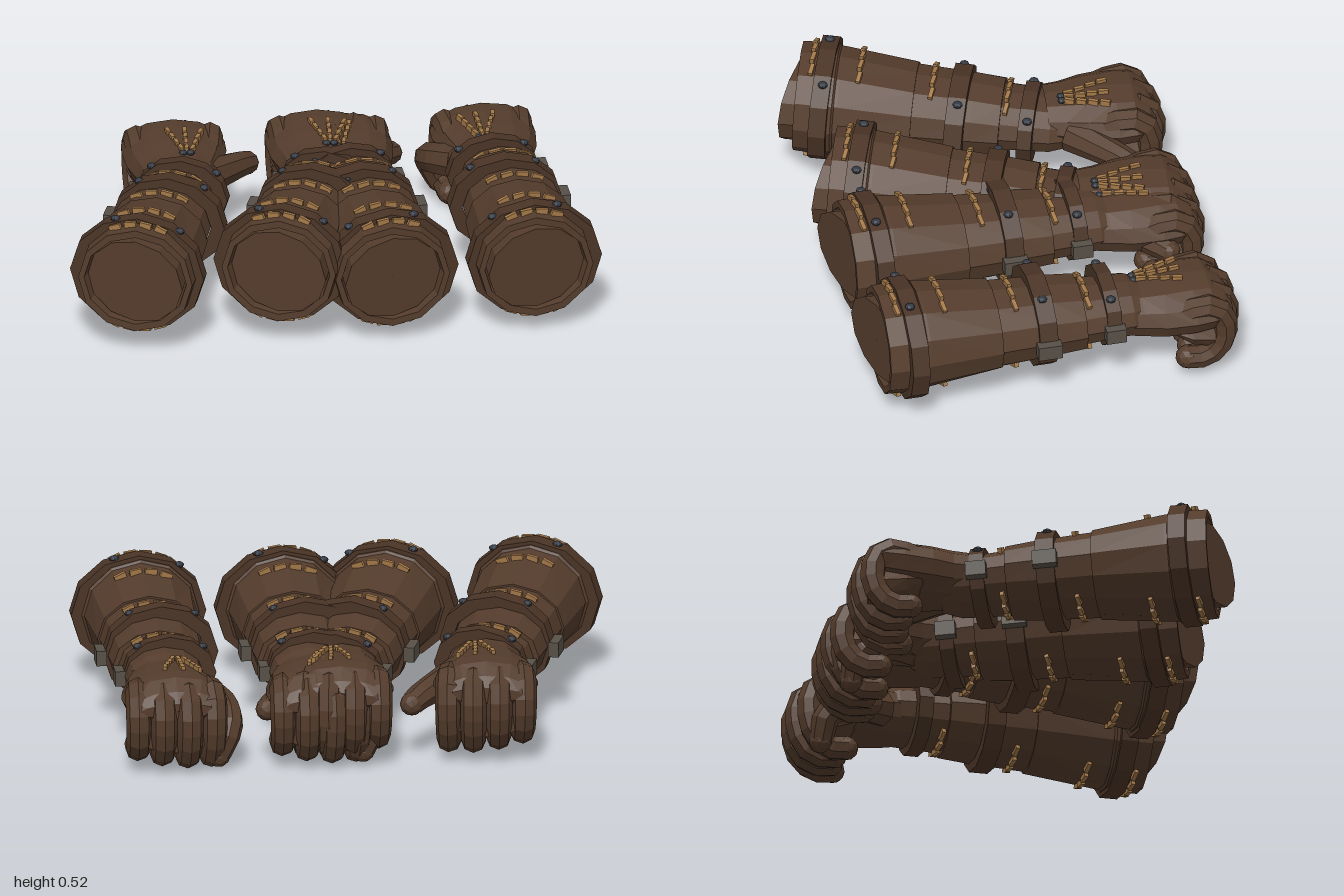
import * as THREE from 'three';

const mat = (name, color) => {
  const m = new THREE.MeshStandardMaterial({ color, flatShading: true });
  m.name = name;
  return m;
};

// Skin of elliptical rings, ordered from front (+z) to back: [z, rx, ry, cx, cy, tilt]
function loft(sections, n = 12) {
  const pos = [], idx = [];
  for (const [z, rx, ry, cx = 0, cy = 0, tilt = 0] of sections) {
    for (let k = 0; k < n; k++) {
      const a = (k / n) * Math.PI * 2;
      const x = cx + rx * Math.cos(a);
      pos.push(x, cy + ry * Math.sin(a), z + tilt * x);
    }
  }
  for (let i = 0; i < sections.length - 1; i++) {
    for (let k = 0; k < n; k++) {
      const a = i * n + k, b = i * n + ((k + 1) % n);
      idx.push(a, a + n, b, b, a + n, b + n);
    }
  }
  const g = new THREE.BufferGeometry();
  g.setAttribute('position', new THREE.Float32BufferAttribute(pos, 3));
  g.setIndex(idx);
  g.computeVertexNormals();
  return g;
}

// Closed hoop around the arm
const hoop = (z0, z1, rx, ry, cx, t = 0.05) =>
  loft([[z1, rx - t, ry - t], [z1, rx, ry], [z0, rx, ry], [z0, rx - t, ry - t], [z1, rx - t, ry - t]]
    .map((s) => [...s, cx, 0, -0.03]));

export function createModel() {
  const leather = mat('brown leather', 0x543c2c);
  const strapLeather = mat('strap leather', 0x4a3426);
  const thread = mat('tan thread', 0xa27848);
  const rivetMetal = mat('dark blue steel', 0x343a44);
  const buckleMetal = mat('dull buckle metal', 0x575047);

  const add = (parent, name, geo, m, x = 0, y = 0, z = 0) => {
    const mesh = new THREE.Mesh(geo, m);
    mesh.name = name;
    mesh.position.set(x, y, z);
    parent.add(mesh);
    return mesh;
  };

  const rivet = (parent, x, y, z, r = 0.019) => {
    add(parent, 'rivet', new THREE.SphereGeometry(r, 8, 6), rivetMetal, x, y - 0.004, z).scale.y = 0.65;
  };

  // Row of stitches over the top and under the bottom of the sleeve
  function stitchRow(parent, z, rx, ry) {
    for (const side of [1, -1]) {
      for (let i = 0; i < 4; i++) {
        const x = -0.087 + i * 0.058;
        const y = side * ry * Math.sqrt(1 - (x / rx) ** 2);
        const s = add(parent, 'stitch', new THREE.BoxGeometry(0.046, 0.022, 0.016), thread, x, y, z);
        s.rotation.z = Math.atan2(-x * ry * ry, y * rx * rx);
        s.rotation.y = 0.15;
      }
    }
  }

  // Strap with two rivets and an optional side buckle
  function strap(parent, z, w, rx, ry, cx, buckle) {
    const g = new THREE.Group();
    g.name = 'strap';
    add(g, 'strapBand', hoop(z - w / 2, z + w / 2, rx, ry, cx), strapLeather);
    for (const x of [-0.15, 0.095]) rivet(g, x, ry * Math.sqrt(1 - ((x - cx) / rx) ** 2), z);
    if (buckle) {
      add(g, 'buckle', new THREE.BoxGeometry(0.04, 0.058, w + 0.022), buckleMetal, rx + cx + 0.008, -0.008, z - 0.003);
    }
    parent.add(g);
  }

  function forearm() {
    const g = new THREE.Group();
    g.name = 'forearm';
    add(g, 'armEnd', loft([[0.665, 0.001, 0.001, 0, 0, -0.28], [0.665, 0.19, 0.16, 0, 0, -0.28], [0.3, 0.17, 0.14]]), leather);
    add(g, 'cuffTrim', loft([[0.5, 0.17, 0.15], [0.66, 0.195, 0.175], [0.66, 0.217, 0.203], [0.52, 0.222, 0.21], [0.5, 0.2, 0.18]]), leather);
    add(g, 'lowerSleeve', loft([[0.53, 0.213, 0.2], [0.5, 0.213, 0.2], [0.22, 0.197, 0.162], [0.22, 0.16, 0.13]]), leather);
    add(g, 'upperSleeve', loft([[0.23, 0.19, 0.155], [0.0, 0.181, 0.142], [-0.11, 0.176, 0.13], [-0.11, 0.14, 0.09]]), leather);
    add(g, 'wristSleeve', loft([[-0.1, 0.156, 0.115], [-0.3, 0.146, 0.105], [-0.37, 0.12, 0.08], [-0.37, 0.001, 0.001]]), leather);
    strap(g, 0.56, 0.066, 0.256, 0.224, 0.006, false);
    strap(g, 0.05, 0.07, 0.217, 0.184, -0.02, true);
    strap(g, -0.215, 0.055, 0.178, 0.145, -0.022, true);
    stitchRow(g, 0.61, 0.222, 0.208);
    stitchRow(g, 0.43, 0.209, 0.193);
    stitchRow(g, 0.155, 0.187, 0.153);
    stitchRow(g, -0.128, 0.16, 0.117);
    return g;
  }

  // Tapered finger along a path, closed at the tip
  function finger(parent, name, points, r0, r1) {
    const path = new THREE.CatmullRomCurve3(points.map((p) => new THREE.Vector3(...p)));
    const rows = 9, sides = 8;
    const geo = new THREE.TubeGeometry(path, rows, 1, sides, false);
    const p = geo.attributes.position, v = new THREE.Vector3();
    for (let i = 0; i < p.count; i++) {
      const t = Math.floor(i / (sides + 1)) / rows;
      const c = path.getPointAt(t);
      v.fromBufferAttribute(p, i).sub(c).multiplyScalar(r0 + (r1 - r0) * t).add(c);
      p.setXYZ(i, v.x, v.y, v.z);
    }
    geo.computeVertexNormals();
    add(parent, name, geo, leather);
    add(parent, name + 'Tip', new THREE.IcosahedronGeometry(r1, 1), leather, ...points[points.length - 1]);
  }

  function hand(openThumb) {
    const g = new THREE.Group();
    g.name = 'hand';
    add(g, 'palm', loft([
      [-0.27, 0.138, 0.095], [-0.34, 0.152, 0.102, 0, -0.003], [-0.42, 0.178, 0.108],
      [-0.53, 0.197, 0.108, -0.005, 0.007], [-0.6, 0.195, 0.098, -0.005, 0.012],
      [-0.655, 0.175, 0.065, -0.005, 0.005], [-0.68, 0.14, 0.03, -0.005, 0], [-0.68, 0.001, 0.001, -0.005, 0],
    ]), leather);
    // Inside of the curled fist
    add(g, 'innerPalm', loft([
      [-0.45, 0.001, 0.001, 0, -0.06], [-0.45, 0.13, 0.03, 0, -0.06], [-0.52, 0.165, 0.07, 0, -0.08],
      [-0.6, 0.17, 0.09, 0, -0.09], [-0.66, 0.165, 0.09, 0, -0.08], [-0.66, 0.001, 0.001, 0, -0.08],
    ]), leather);
    // Four curled fingers: [x, knuckle shift, tip shift]
    const fingers = [[-0.146, 0.022, -0.005], [-0.052, -0.003, 0], [0.045, 0.002, 0.01], [0.137, 0.028, 0.025]];
    fingers.forEach(([x, dz, dy]) => finger(g, 'finger', [
      [x * 0.9, 0.02, -0.51 + dz], [x * 0.97, 0.047, -0.6 + dz], [x, 0.012, -0.658 + dz], [x, -0.09, -0.671 + dz],
      [x * 0.98, -0.18 + dy, -0.635 + dz], [x * 0.97, -0.207 + dy, -0.58 + dz], [x * 0.96, -0.202 + dy, -0.53 + dz],
    ], 0.052, 0.046));
    // Thumb, either spread or tucked beside the fingers
    finger(g, 'thumb', openThumb
      ? [[-0.11, -0.02, -0.36], [-0.185, -0.035, -0.45], [-0.25, -0.05, -0.53], [-0.282, -0.065, -0.575]]
      : [[-0.12, -0.02, -0.37], [-0.195, -0.05, -0.48], [-0.207, -0.1, -0.59], [-0.165, -0.2, -0.61]],
    0.07, 0.045);
    // Fan of stitches on the back of the hand
    for (const [xa, xb] of [[-0.06, -0.108], [-0.042, -0.042], [-0.025, 0.03]]) {
      for (let i = 0; i < 4; i++) {
        const t = (i + 0.4) / 4;
        const x = xa + (xb - xa) * t;
        const s = add(g, 'handStitch', new THREE.BoxGeometry(0.015, 0.022, 0.038), thread,
          x, 0.1 + 0.014 * t - 0.8 * x * x, -0.34 - 0.175 * t);
        s.rotation.y = Math.atan2(xa - xb, 0.175) + 0.1;
      }
    }
    for (const x of [-0.055, -0.027]) rivet(g, x, 0.1, -0.33, 0.016);
    return g;
  }

  const model = new THREE.Group();
  model.name = 'gauntlets';

  // Straight pair and mirrored pair bent at the wrist
  for (const shift of [0, -0.545]) {
    const left = new THREE.Group();
    left.name = 'straightGauntlet';
    const straightHand = hand(false);
    straightHand.position.y = -0.008;
    left.add(forearm(), straightHand);
    left.position.set(0.737 + shift, 0.267, 0);
    model.add(left);

    const right = new THREE.Group();
    right.name = 'bentGauntlet';
    const arm = forearm();
    arm.scale.x = -1;
    arm.rotation.order = 'YXZ';
    arm.rotation.set(-0.045, -0.34, 0);
    arm.position.set(-0.558, 0, -0.017);
    const wrist = new THREE.Group();
    wrist.name = 'wrist';
    wrist.position.set(-0.47, 0.012, -0.33);
    wrist.rotation.y = -0.1;
    const bentHand = hand(true);
    bentHand.scale.x = -1;
    bentHand.position.z = 0.33;
    wrist.add(bentHand);
    right.add(arm, wrist);
    right.position.set(-shift, 0.267, 0);
    model.add(right);
  }
  return model;
}
